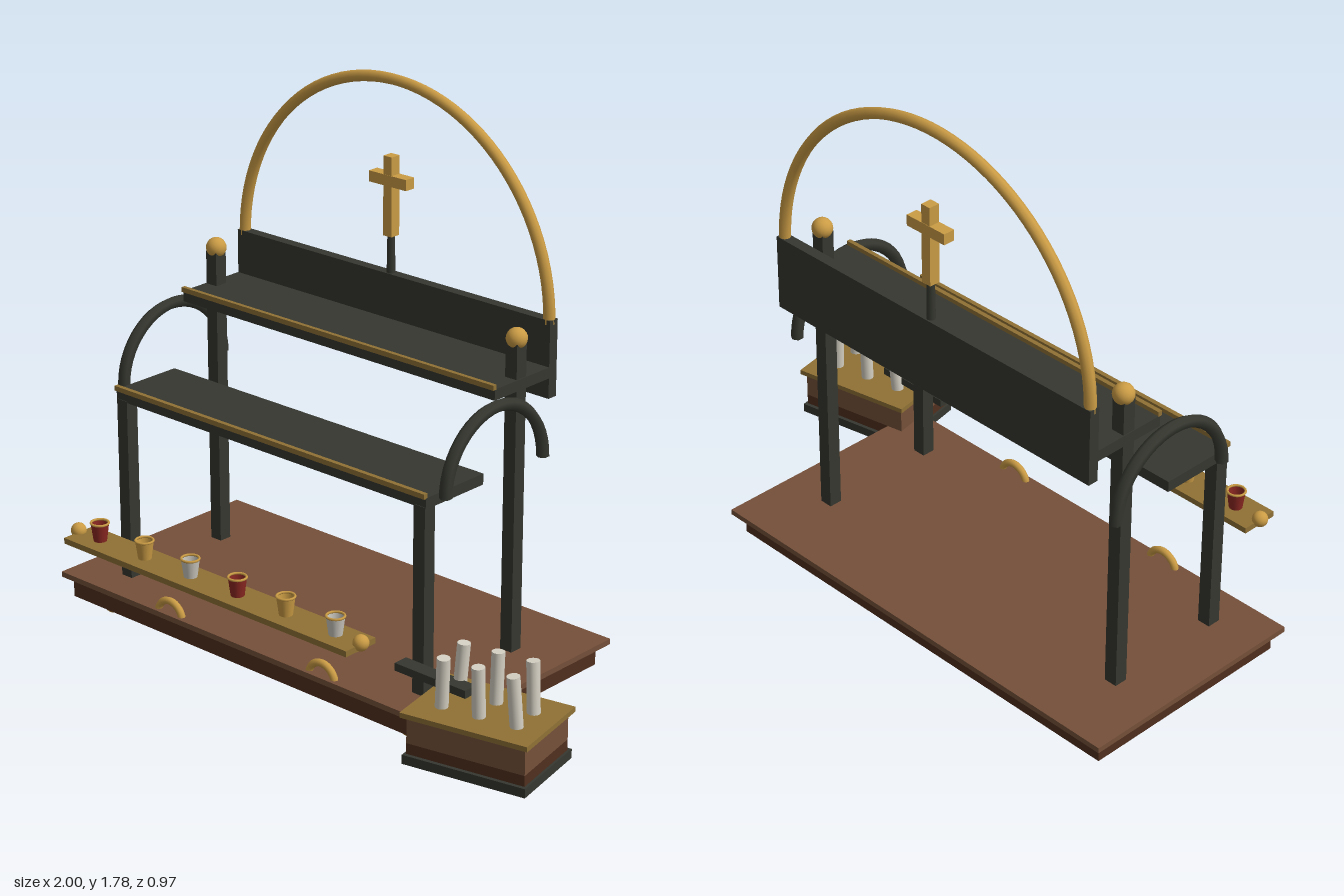
import * as THREE from 'three';

const mat = (name, color) => {
  const m = new THREE.MeshStandardMaterial({ color });
  m.name = name;
  return m;
};

export function createModel() {
  const root = new THREE.Group();
  root.name = 'altarStand';

  const iron = mat('dark iron', 0x35372f);
  const gold = mat('polished gold', 0xcb9c45);
  const brass = mat('dull brass', 0x8f7135);
  const wood = mat('brown wood', 0x75503a);
  const darkWood = mat('dark wood', 0x50301f);
  const red = mat('red glass', 0x8c2822);
  const white = mat('white glass', 0xcac7bd);
  const wax = mat('candle wax', 0xd6d1c4);
  red.side = white.side = gold.side = THREE.DoubleSide;

  const add = (name, geo, material, x, y, z, parent = root) => {
    const m = new THREE.Mesh(geo, material);
    m.name = name;
    m.position.set(x, y, z);
    parent.add(m);
    return m;
  };
  // Box given by its limits on each axis
  const box = (name, material, x0, x1, y0, y1, z0, z1, parent = root) =>
    add(name, new THREE.BoxGeometry(x1 - x0, y1 - y0, z1 - z0), material,
      (x0 + x1) / 2, (y0 + y1) / 2, (z0 + z1) / 2, parent);
  const ball = (name, r, x, y, z) =>
    add(name, new THREE.SphereGeometry(r, 16, 12), gold, x, y, z);

  const cx = -0.197;
  const L = cx - 0.647, R = cx + 0.647;

  // Plinth with round feet
  box('plinth', darkWood, -0.97, 0.578, 0.03, 0.097, -0.455, 0.288);
  box('plinthTop', wood, -1, 0.608, 0.097, 0.115, -0.488, 0.312);
  for (const x of [-0.835, 0.44]) for (const z of [-0.4, 0.24])
    ball('foot', 0.033, x, 0.033, z);

  // Posts, finials and curved side brackets
  for (const s of [-1, 1]) {
    const x = cx + s * 0.622;
    box('rearPost', iron, x - 0.022, x + 0.022, 0.11, 1.11, -0.252, -0.208);
    box('frontPost', iron, x - 0.022, x + 0.022, 0.11, 0.72, 0.151, 0.195);
    ball('finial', 0.033, x, 1.12, -0.232);
    const arm = add('sideBracket', new THREE.TorusGeometry(0.22, 0.02, 6, 24, Math.PI), iron,
      cx + s * 0.672, 0.74, -0.083);
    arm.rotation.y = Math.PI / 2;
    for (const e of [-1, 1]) {
      const cap = add('bracketEnd', new THREE.CircleGeometry(0.02, 6), iron,
        cx + s * 0.672, 0.74, -0.083 + e * 0.22);
      cap.rotation.set(Math.PI / 2, 0, Math.PI / 2);
    }
  }

  // Shelves with brass edge strips, and the back panel
  box('lowerShelf', iron, L, R, 0.715, 0.75, -0.06, 0.193);
  box('lowerShelfTrim', brass, L, R, 0.748, 0.764, 0.187, 0.202);
  box('upperShelf', iron, L, R, 0.965, 1.0, -0.358, -0.106);
  box('upperShelfTrim', brass, L, R, 0.998, 1.014, -0.113, -0.099);
  box('backPanel', iron, L, R, 0.9, 1.145, -0.39, -0.355);

  // Large arch above the panel
  add('arch', new THREE.TorusGeometry(0.63, 0.018, 8, 48, Math.PI), gold, cx, 1.13, -0.372);

  // Cross on its stem
  add('crossStem', new THREE.CylinderGeometry(0.012, 0.014, 0.13, 10), iron, cx, 1.205, -0.372);
  box('crossUpright', gold, cx - 0.017, cx + 0.017, 1.265, 1.52, -0.39, -0.354);
  box('crossBar', gold, cx - 0.076, cx + 0.076, 1.426, 1.461, -0.391, -0.353);

  // Half-ring handles on the plinth
  for (const x of [-0.523, 0.126])
    add('handle', new THREE.TorusGeometry(0.053, 0.012, 8, 16, Math.PI), gold, x, 0.1, 0.29);

  // Votive rail with cups
  box('votiveRail', brass, -0.793, 0.4, 0.33, 0.349, 0.354, 0.48);
  for (const x of [-0.795, 0.4]) ball('railKnob', 0.025, x, 0.354, 0.416);
  const glass = [red, gold, white];
  for (let i = 0; i < 6; i++) {
    const x = -0.697 + i * 0.1995;
    add('votiveCup', new THREE.CylinderGeometry(0.029, 0.021, 0.06, 16, 1, true), glass[i % 3],
      x, 0.379, 0.416);
    const rim = add('cupRim', new THREE.TorusGeometry(0.028, 0.004, 6, 16), gold, x, 0.408, 0.416);
    rim.rotation.x = Math.PI / 2;
  }

  // Arm carrying the candle box
  box('boxArm', iron, 0.435, 0.705, 0.238, 0.263, 0.259, 0.309);

  // Candle box, turned slightly
  const cb = new THREE.Group();
  cb.name = 'candleBox';
  cb.position.set(0.768, 0, 0.283);
  cb.rotation.y = 0.2;
  root.add(cb);
  box('boxBase', iron, -0.2, 0.2, 0.052, 0.081, -0.142, 0.142, cb);
  box('boxLowerBand', darkWood, -0.192, 0.192, 0.081, 0.115, -0.13, 0.13, cb);
  box('boxBody', wood, -0.192, 0.192, 0.115, 0.2, -0.13, 0.13, cb);
  box('boxLid', brass, -0.206, 0.206, 0.2, 0.216, -0.146, 0.146, cb);
  for (const i of [-1, 0, 1]) for (const row of [-1, 1]) {
    const c = add('candle', new THREE.CylinderGeometry(0.02, 0.02, 0.165, 12), wax,
      i * 0.117, 0.293, row * 0.055, cb);
    c.rotation.set(row * 0.05, 0, i * 0.06);
  }
  return root;
}
